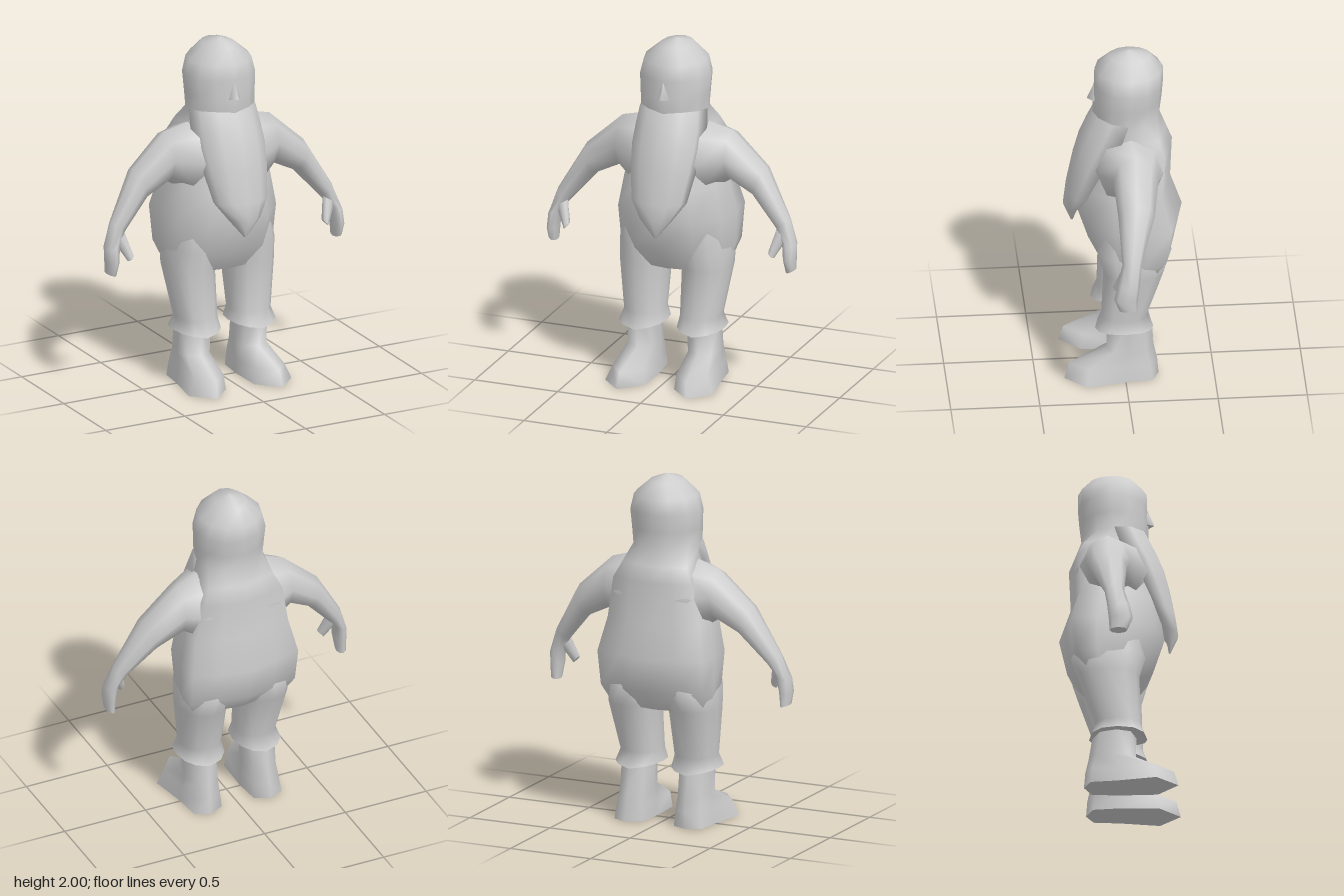
import * as THREE from 'three';

// Skins a list of rings (arrays of [x, y, z]) into a smooth closed solid with end caps
function loft(rings) {
  const n = rings[0].length, pos = rings.flat(2), idx = [];
  for (let i = 0; i < rings.length - 1; i++)
    for (let j = 0; j < n; j++) {
      const a = i * n + j, b = i * n + (j + 1) % n;
      idx.push(a, b, b + n, a, b + n, a + n);
    }
  const cap = (ring, flip) => {
    const base = pos.length / 3;
    ring.forEach((p) => pos.push(...p));
    pos.push(...[0, 1, 2].map((k) => ring.reduce((s, p) => s + p[k], 0) / n));
    for (let j = 0; j < n; j++) {
      const a = base + j, b = base + (j + 1) % n;
      idx.push(base + n, flip ? b : a, flip ? a : b);
    }
  };
  cap(rings[0], true);
  cap(rings[rings.length - 1], false);
  // Turn the solid right side out if the rings ran the other way
  const v = (i) => new THREE.Vector3().fromArray(pos, i * 3);
  let volume = 0;
  for (let i = 0; i < idx.length; i += 3)
    volume += v(idx[i]).dot(v(idx[i + 1]).cross(v(idx[i + 2])));
  if (volume < 0) idx.reverse();
  const g = new THREE.BufferGeometry();
  g.setAttribute('position', new THREE.Float32BufferAttribute(pos, 3));
  g.setIndex(idx);
  g.computeVertexNormals();
  return g;
}

// Unit outline starting at the front; a power below 1 makes it squarer
const round = (n, power = 1) => Array.from({ length: n }, (_, j) => {
  const t = (j / n) * Math.PI * 2;
  return [Math.sin(t), Math.cos(t)].map((c) => Math.sign(c) * Math.abs(c) ** power);
});

// Level ring fitted between x0..x1 and z0..z1
const level = (outline, y, x0, x1, z0, z1) => outline.map(([u, w]) =>
  [(x0 + x1) / 2 + u * (x1 - x0) / 2, y, (z0 + z1) / 2 + w * (z1 - z0) / 2]);

// Limb ring between an upper and a lower edge point, with depth z0..z1
const limbRing = ([tx, ty, bx, by, z0, z1]) => round(8).map(([u, w]) => [
  (tx + bx) / 2 + u * (tx - bx) / 2,
  (ty + by) / 2 + u * (ty - by) / 2,
  (z0 + z1) / 2 + w * (z1 - z0) / 2]);

export function createModel() {
  const model = new THREE.Group();
  const grey = new THREE.MeshStandardMaterial({ color: 0xcccccc });
  grey.name = 'plain grey';
  const add = (name, rings) => {
    const mesh = new THREE.Mesh(loft(rings), grey);
    mesh.name = name;
    model.add(mesh);
  };

  // Torso and head in one skin: angular back, rounded belly, round head
  const half = [[0.55, 0.84], [0.93, 0.35], [1, -0.25], [0.97, -0.73], [0.5, -0.87]];
  const body = [[0, 1], ...half, [0, -1], ...half.toReversed().map(([u, w]) => [-u, w])];
  const skull = round(12);
  add('torsoAndHead', [
    [body, 0.67, 0.29, -0.19, 0.105], [body, 0.79, 0.328, -0.29, 0.19],
    [body, 0.99, 0.335, -0.335, 0.255], [body, 1.18, 0.295, -0.27, 0.225],
    [body, 1.42, 0.25, -0.28, 0.15], [body, 1.51, 0.205, -0.245, 0.15],
    [skull, 1.6, 0.195, -0.21, 0.167], [skull, 1.7, 0.2, -0.222, 0.165],
    [skull, 1.8, 0.208, -0.23, 0.158], [skull, 1.89, 0.182, -0.23, 0.155],
    [skull, 1.97, 0.09, -0.16, 0.08], [skull, 2.0, 0.01, -0.045, -0.025],
  ].map(([outline, y, w, z0, z1]) => level(outline, y, -w, w, z0, z1)));

  // Nose
  add('nose', [
    [[-0.05, 1.69, 0.14], [0.05, 1.69, 0.14], [0, 1.7, 0.198]],
    [[-0.015, 1.8, 0.145], [0.015, 1.8, 0.145], [0, 1.795, 0.157]],
  ]);

  // Beard: grows out of the jaw, curved front, thin back, running to a point
  add('beard', [
    [0.912, 0.008, 0.278, 0.288], [1.02, 0.095, 0.262, 0.332], [1.12, 0.165, 0.215, 0.318],
    [1.3, 0.195, 0.135, 0.283], [1.42, 0.208, 0.07, 0.252], [1.52, 0.205, 0.01, 0.212],
    [1.61, 0.195, -0.02, 0.168], [1.67, 0.16, -0.02, 0.13],
  ].map(([y, w, edge, front]) => [
    [-w, edge], [0, edge + 0.01], [w, edge],
    [w * 0.9, edge + (front - edge) * 0.5], [w * 0.52, edge + (front - edge) * 0.9],
    [0, front],
    [-w * 0.52, edge + (front - edge) * 0.9], [-w * 0.9, edge + (front - edge) * 0.5],
  ].map(([x, z]) => [x, y, z])));

  for (const [side, s] of [['left', 1], ['right', -1]]) {
    const mirror = (rings) => rings.map((r) => r.map(([x, y, z]) => [x * s, y, z]));

    // Arm and hand, with a broad shoulder sunk into the torso
    add(side + 'Arm', mirror([
      [0.06, 1.53, 0.1, 1.12, -0.255, 0.18], [0.19, 1.53, 0.24, 1.14, -0.232, 0.16],
      [0.33, 1.49, 0.33, 1.2, -0.18, 0.075], [0.54, 1.3, 0.475, 1.13, -0.145, 0.06],
      [0.7, 1.02, 0.615, 0.97, -0.06, 0.05], [0.745, 0.88, 0.665, 0.91, -0.045, 0.08],
      [0.745, 0.8, 0.68, 0.81, -0.035, 0.1], [0.74, 0.735, 0.69, 0.72, -0.03, 0.07],
    ].map(limbRing)));
    add(side + 'Thumb', mirror([
      [0.7, 0.925, 0.63, 0.965, -0.01, 0.06], [0.633, 0.808, 0.6, 0.845, 0.045, 0.1],
    ].map(limbRing)));

    // Trouser leg; the flared hem rises slightly at the sides
    const legRings = [
      [0.3, 0.038, 0.31, -0.162, 0.165], [0.39, 0.052, 0.285, -0.128, 0.13],
      [0.68, 0.05, 0.325, -0.225, 0.12], [0.8, 0.04, 0.318, -0.265, 0.155],
      [0.95, 0.06, 0.29, -0.2, 0.13],
    ].map(([y, ...box]) => level(round(12, 0.85), y, ...box));
    legRings[0].forEach((p) => { p[1] += 0.025 * Math.abs(p[0] - 0.174) / 0.136; });
    add(side + 'TrouserLeg', mirror(legRings));

    // Boot with the toe turned slightly outward
    const sole = [[0.21, 0.34], [0.325, 0.22], [0.285, 0], [0.27, -0.15],
      [0.19, -0.19], [0.1, -0.15], [0.085, 0], [0.09, 0.22]];
    const toe = [[0.2, 0.315], [0.285, 0.21], [0.275, 0], [0.26, -0.14],
      [0.185, -0.183], [0.105, -0.14], [0.085, 0], [0.1, 0.21]];
    const ankle = [[0.18, 0.1], [0.25, 0.065], [0.27, -0.02], [0.25, -0.12],
      [0.18, -0.165], [0.11, -0.12], [0.085, -0.02], [0.11, 0.065]];
    const shaft = ankle.map(([x, z]) => [x, z * 0.9 + 0.015]);
    add(side + 'Boot', mirror([[0, sole], [0.09, toe], [0.175, ankle], [0.37, shaft]]
      .map(([y, pts]) => pts.map(([x, z]) => [x, y, z]))));
  }
  return model;
}
